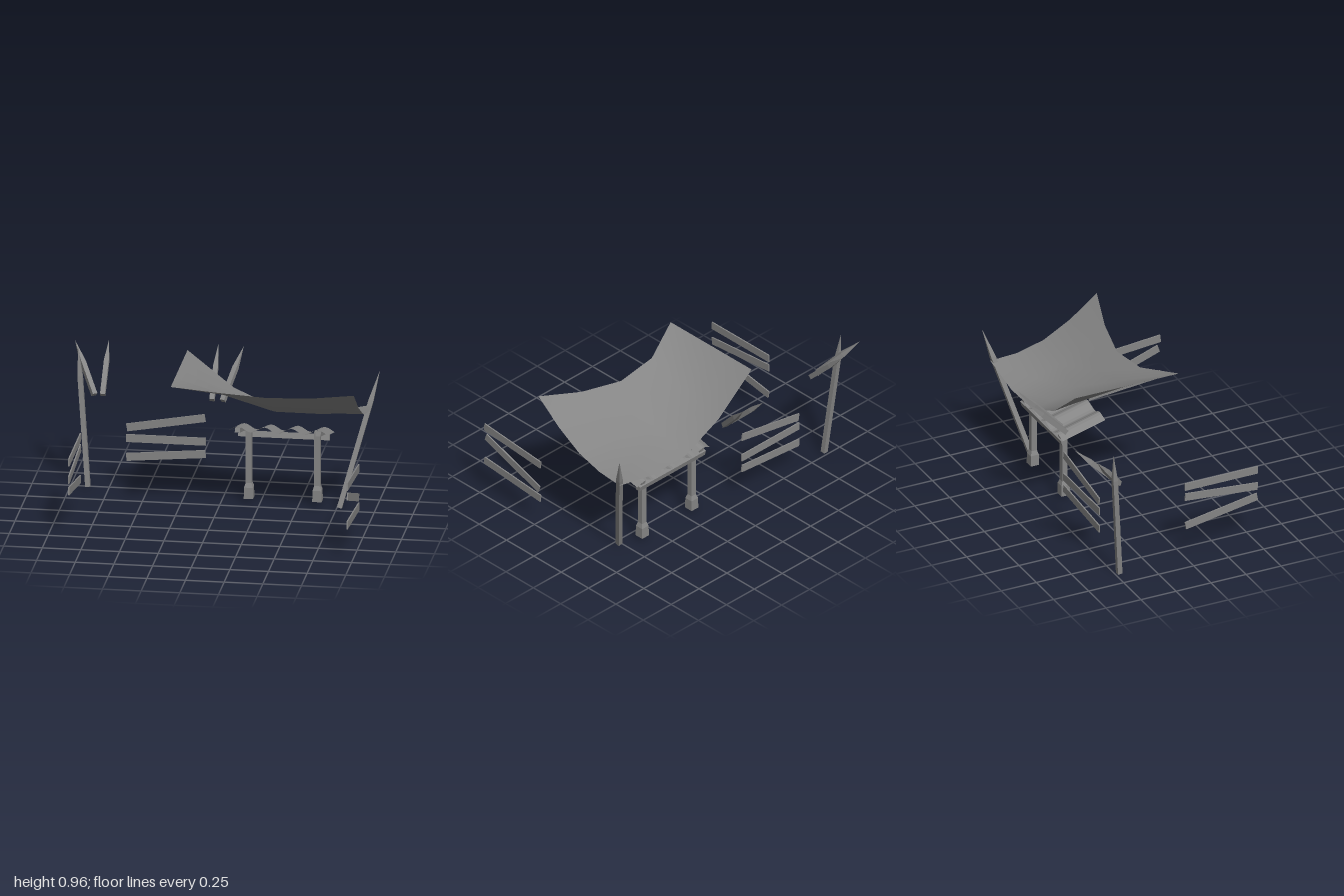
import * as THREE from 'three';

const color = 0x858585;
const grey = new THREE.MeshStandardMaterial({ color, flatShading: true });
const sheetGrey = new THREE.MeshStandardMaterial({ color, flatShading: true, side: THREE.DoubleSide });
const clothGrey = new THREE.MeshStandardMaterial({ color, side: THREE.DoubleSide });

// Square section turned from a profile of [half width, height]
function squareTurned(profile) {
  const pts = profile.map(([w, y]) => new THREE.Vector2(w * Math.SQRT2, y));
  return new THREE.LatheGeometry(pts, 4, Math.PI / 4);
}

function add(parent, name, geometry, material = grey) {
  const mesh = new THREE.Mesh(geometry, material);
  mesh.name = name;
  parent.add(mesh);
  return mesh;
}

// Sharpened stake running from the foot to the tip, rolled about its own length
function addStake(parent, name, foot, tip, pointLength, roll = 0) {
  const a = new THREE.Vector3(...foot), dir = new THREE.Vector3(...tip).sub(a);
  const h = dir.length(), w = 0.016;
  const stake = add(parent, name, squareTurned([[0, 0], [w, 0], [w, h - pointLength], [0, h]]));
  stake.position.copy(a);
  stake.quaternion.setFromUnitVectors(new THREE.Vector3(0, 1, 0), dir.normalize());
  stake.rotateY(roll);
}

// Fence panel of loose planks; each row gives the heights of its two ends
function addFence(parent, name, position, turn, length, rows) {
  const fence = new THREE.Group();
  fence.name = name;
  fence.position.set(...position);
  fence.rotation.y = turn;
  for (const [y0, y1] of rows) {
    const plank = add(fence, 'plank', new THREE.BoxGeometry(length, 0.052, 0.009));
    plank.position.y = (y0 + y1) / 2;
    plank.rotation.z = Math.atan2(y1 - y0, length);
  }
  parent.add(fence);
}

// Sagging cloth, hung from its corners
function canopyGeometry() {
  const frontY = [0.965, 0.895, 0.87, 0.9, 0.965];
  const backY = [0.965, 0.725, 0.59, 0.585, 0.65];
  const frontZ = [0.27, 0.14, 0.12, 0.18, 0.27];
  const sag = [0, 0.03, 0.05, 0.05, 0.095];
  const geo = new THREE.PlaneGeometry(1, 1, 4, 4);
  const pos = geo.attributes.position;
  for (let i = 0; i < pos.count; i++) {
    const c = i % 5, v = Math.floor(i / 5) / 4; // v = 0 at the back
    const x = -0.24 + c * 0.296 + (c / 4) * 0.012 * (1 - v);
    const y = THREE.MathUtils.lerp(backY[c], frontY[c], v) - sag[c] * Math.sin(Math.PI * v);
    const z = THREE.MathUtils.lerp(-0.47 - 0.015 * c / 4, frontZ[c], v);
    pos.setXYZ(i, x, y, z);
  }
  geo.computeVertexNormals();
  return geo;
}

// Corrugated roof sheet, with a crest over each rafter
function corrugatedGeometry(width, depth) {
  const geo = new THREE.PlaneGeometry(width, depth, 30, 1).rotateX(-Math.PI / 2);
  const pos = geo.attributes.position;
  for (let i = 0; i < pos.count; i++) {
    const u = pos.getX(i) / width + 0.5;
    pos.setY(i, 0.018 * Math.cos((u - 0.1) * 3.75 * Math.PI * 2));
  }
  geo.computeVertexNormals();
  return geo;
}

export function createModel() {
  const model = new THREE.Group();
  model.name = 'shelter';

  // Tall and short stakes
  addStake(model, 'tallStakeRight', [-0.885, 0.01, -0.475], [-0.96, 0.93, -0.553], 0.2);
  addStake(model, 'tallStakeLeft', [0.77, 0.01, -0.287], [0.997, 0.872, -0.525], 0.2);
  const short = [
    [[-0.84, 0.638, -0.455], [-1.0, 0.922, -0.687]],
    [[-0.787, 0.638, -0.458], [-0.787, 0.922, -0.743]],
    [[-0.08, 0.638, -0.458], [-0.08, 0.922, -0.743]],
    [[-0.01, 0.638, -0.455], [0.087, 0.922, -0.725]],
  ];
  for (const [foot, tip] of short) {
    addStake(model, 'shortStake', foot, tip, 0.16, Math.atan2(tip[0] - foot[0], tip[2] - foot[2]));
  }

  // Fence planks on three sides
  addFence(model, 'backFence', [-0.383, 0, -0.495], 0, 0.515,
    [[0.413, 0.503], [0.342, 0.342], [0.214, 0.259]]);
  addFence(model, 'rightFence', [-0.862, 0, 0.265], Math.PI / 2, 0.52,
    [[0.508, 0.508], [0.39, 0.435], [0.315, 0.224]]);
  addFence(model, 'leftFence', [0.97, 0, 0.48], Math.PI / 2, 0.515,
    [[0.508, 0.463], [0.443, 0.263], [0.248, 0.203]]);

  // Cloth canopy
  add(model, 'canopy', canopyGeometry(), clothGrey);

  // Small stand: posts with flared feet, cross beam, rafters and roof sheet
  const stand = new THREE.Group();
  stand.name = 'stand';
  model.add(stand);
  for (const x of [0.176, 0.619]) {
    const post = add(stand, 'post', squareTurned([
      [0, 0.03], [0.03, 0.03], [0.029, 0.105], [0.019, 0.135], [0.019, 0.5], [0, 0.5]]));
    post.position.set(x, 0, -0.347);
  }
  const beam = add(stand, 'crossBeam', new THREE.BoxGeometry(0.59, 0.038, 0.03));
  beam.position.set(0.398, 0.45, -0.383);
  beam.rotation.x = -0.26;

  const roof = new THREE.Group();
  roof.name = 'roof';
  roof.position.set(0.397, 0.532, -0.256);
  roof.rotation.x = -0.26;
  stand.add(roof);
  add(roof, 'corrugatedSheet', corrugatedGeometry(0.65, 0.315), sheetGrey);
  for (const s of [-1, 1]) {
    const rafter = add(roof, 'rafter', new THREE.BoxGeometry(0.034, 0.03, 0.3));
    rafter.position.set(s * 0.261, -0.008, 0);
  }
  return model;
}
